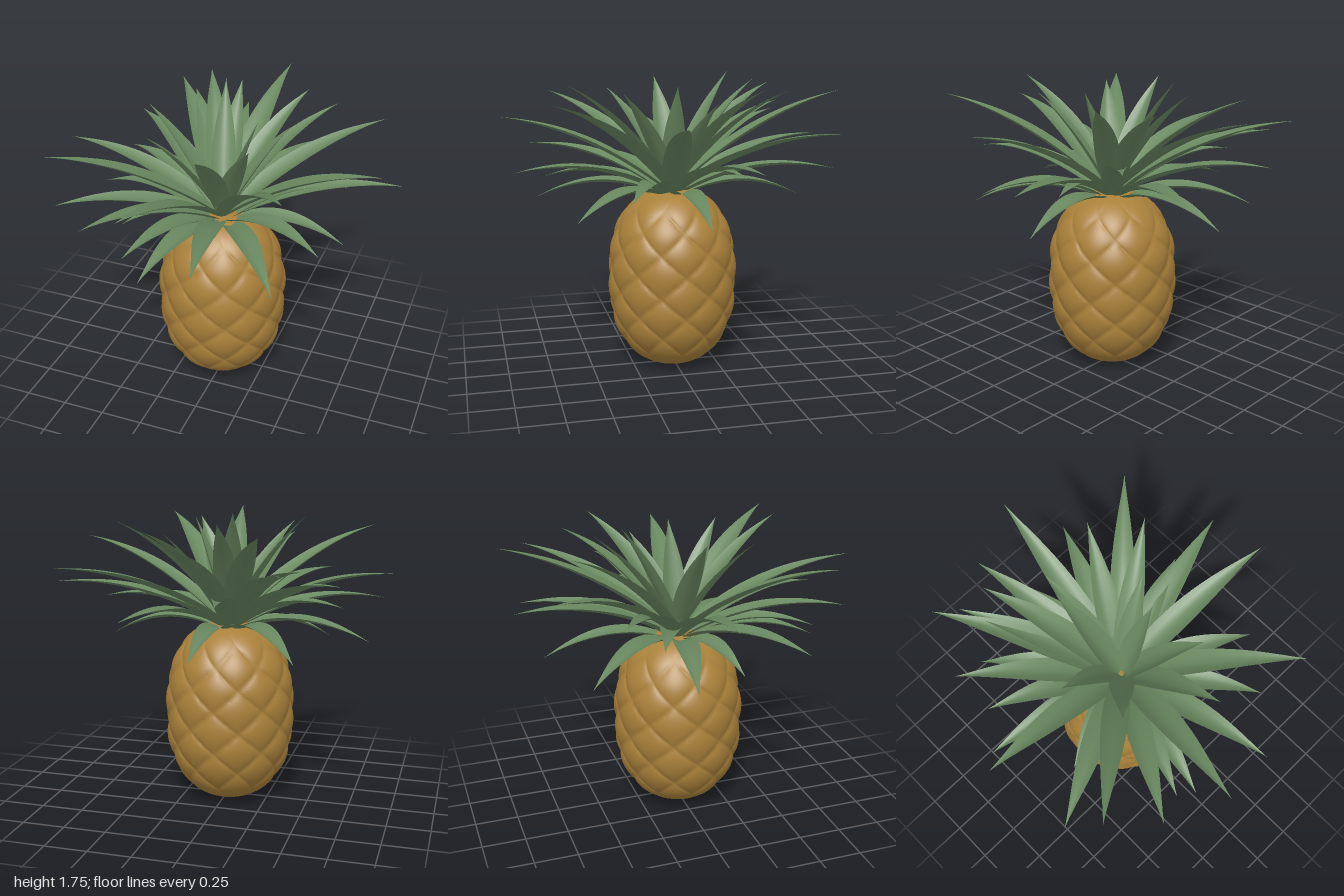
import * as THREE from 'three';
import { mergeVertices } from 'three/addons/utils/BufferGeometryUtils.js';

const CX = -0.015, CZ = 0.005;

// Fruit: rounded barrel with pillow-shaped scales between crossing spiral grooves
function fruitGeometry() {
  const g = new THREE.SphereGeometry(1, 200, 130);
  const p = g.attributes.position;
  for (let i = 0; i < p.count; i++) {
    const t = THREE.MathUtils.clamp(p.getY(i), -1, 1);
    const y = 0.54 + 0.54 * t;
    const angle = Math.atan2(p.getX(i), p.getZ(i));
    let r = 0.386 * Math.pow(Math.max(0, 1 - Math.pow(Math.abs(t), 2.5)), 0.45);
    const v = Math.PI * (y - 0.615) / 0.25;
    const pillow = Math.pow(Math.abs(Math.sin(4 * angle + v) * Math.sin(4 * angle - v)), 0.4);
    r *= 1 - 0.06 * (1 - pillow) * Math.min(1, (1 - Math.abs(t)) * 4);
    p.setXYZ(i, r * Math.sin(angle), y, r * Math.cos(angle));
  }
  g.deleteAttribute('uv');
  g.deleteAttribute('normal');
  const merged = mergeVertices(g, 1e-5);
  merged.computeVertexNormals();
  return merged;
}

// Leaf: tapering, arched, slightly channelled blade ending at the given tip
function leafGeometry([x, y, z]) {
  const dir = new THREE.Vector3(x - CX, 0, z - CZ);
  const reach = dir.length();
  dir.normalize();
  const side = new THREE.Vector3(dir.z, 0, -dir.x);
  const steep = THREE.MathUtils.clamp((y - 1) / 0.7, 0, 1);
  const rootR = 0.09 - 0.088 * steep;
  const root = new THREE.Vector3(CX, 1.05 + 0.02 * steep, CZ).addScaledVector(dir, rootR);
  const tip = new THREE.Vector3(x, y, z);
  const bend = root.clone().lerp(tip, 0.48);
  bend.y += 0.17 * Math.min(1, reach / 0.7);
  const curve = new THREE.QuadraticBezierCurve3(root, bend, tip);
  const halfWidth = 0.08 + 0.025 * Math.min(1, curve.getLength());
  const rows = 16, cols = 4, pos = [], index = [];
  for (let i = 0; i <= rows; i++) {
    const t = i / rows;
    const c = curve.getPoint(t);
    const up = new THREE.Vector3().crossVectors(curve.getTangent(t), side).normalize();
    const w = halfWidth * Math.pow(1 - t, 1.3) * (0.42 + 2.3 * t);
    for (let j = 0; j <= cols; j++) {
      const s = j / cols * 2 - 1;
      const q = c.clone().addScaledVector(side, s * w).addScaledVector(up, 0.4 * w * (s * s - 0.4));
      pos.push(q.x, q.y, q.z);
      if (i < rows && j < cols) {
        const a = i * (cols + 1) + j, b = a + cols + 1;
        index.push(a, a + 1, b, a + 1, b + 1, b);
      }
    }
  }
  const g = new THREE.BufferGeometry();
  g.setAttribute('position', new THREE.Float32BufferAttribute(pos, 3));
  g.setIndex(index);
  g.computeVertexNormals();
  return g;
}

// Leaf tips: drooping outer ring, spreading middle ring, upright heart
const OUTER = [
  [0.71, 0.97, -0.05], [0.5, 1.0, 0.64], [-0.53, 1.0, -0.64], [0, 1.0, -0.79],
  [-0.86, 1.04, -0.17], [-0.58, 0.98, 0.2], [0.67, 1.13, 0.37], [-0.31, 1.12, 0.74],
  [-0.2, 1.02, 0.79], [0.67, 1.24, -0.24], [-0.87, 1.18, 0.45],
];
const MIDDLE = [
  [0.17, 1.23, 0.94], [-0.5, 1.3, 0.82], [0.35, 1.22, -0.86], [0.98, 1.31, -0.24],
  [-0.73, 1.25, -0.31], [-0.2, 1.35, -0.97], [-0.97, 1.4, 0], [-0.75, 1.4, -0.52],
  [0.75, 1.47, -0.75], [-0.2, 1.5, 0.99], [0.93, 1.54, 0.14], [-0.77, 1.6, 0.65],
];
const HEART = [
  [-0.61, 1.52, -0.84], [-0.49, 1.48, -0.77], [0.07, 1.64, -1], [0.58, 1.64, 0.77],
  [-0.35, 1.66, -0.69], [0.31, 1.66, -0.59], [0.54, 1.69, -0.38], [-0.08, 1.7, -0.5],
  [-0.45, 1.7, 0.02], [0.07, 1.7, 0.63], [0.26, 1.66, 0.34], [-0.13, 1.75, -0.36],
  [0.2, 1.69, 0.02], [-0.33, 1.65, 0.34], [0.33, 1.6, -0.18],
];

export function createModel() {
  const skin = new THREE.MeshStandardMaterial({ color: 0xa9803a });
  skin.name = 'golden skin';
  const green = new THREE.MeshStandardMaterial({ color: 0x68875f, side: THREE.DoubleSide });
  green.name = 'leaf green';

  const model = new THREE.Group();
  model.name = 'pineapple';
  const fruit = new THREE.Mesh(fruitGeometry(), skin);
  fruit.name = 'fruit';
  fruit.position.set(CX, 0, CZ);
  model.add(fruit);

  const crown = new THREE.Group();
  crown.name = 'crown';
  for (const [name, tips] of [['outerLeaf', OUTER], ['middleLeaf', MIDDLE], ['heartLeaf', HEART]]) {
    for (const tip of tips) {
      const leaf = new THREE.Mesh(leafGeometry(tip), green);
      leaf.name = name;
      crown.add(leaf);
    }
  }
  model.add(crown);
  return model;
}
